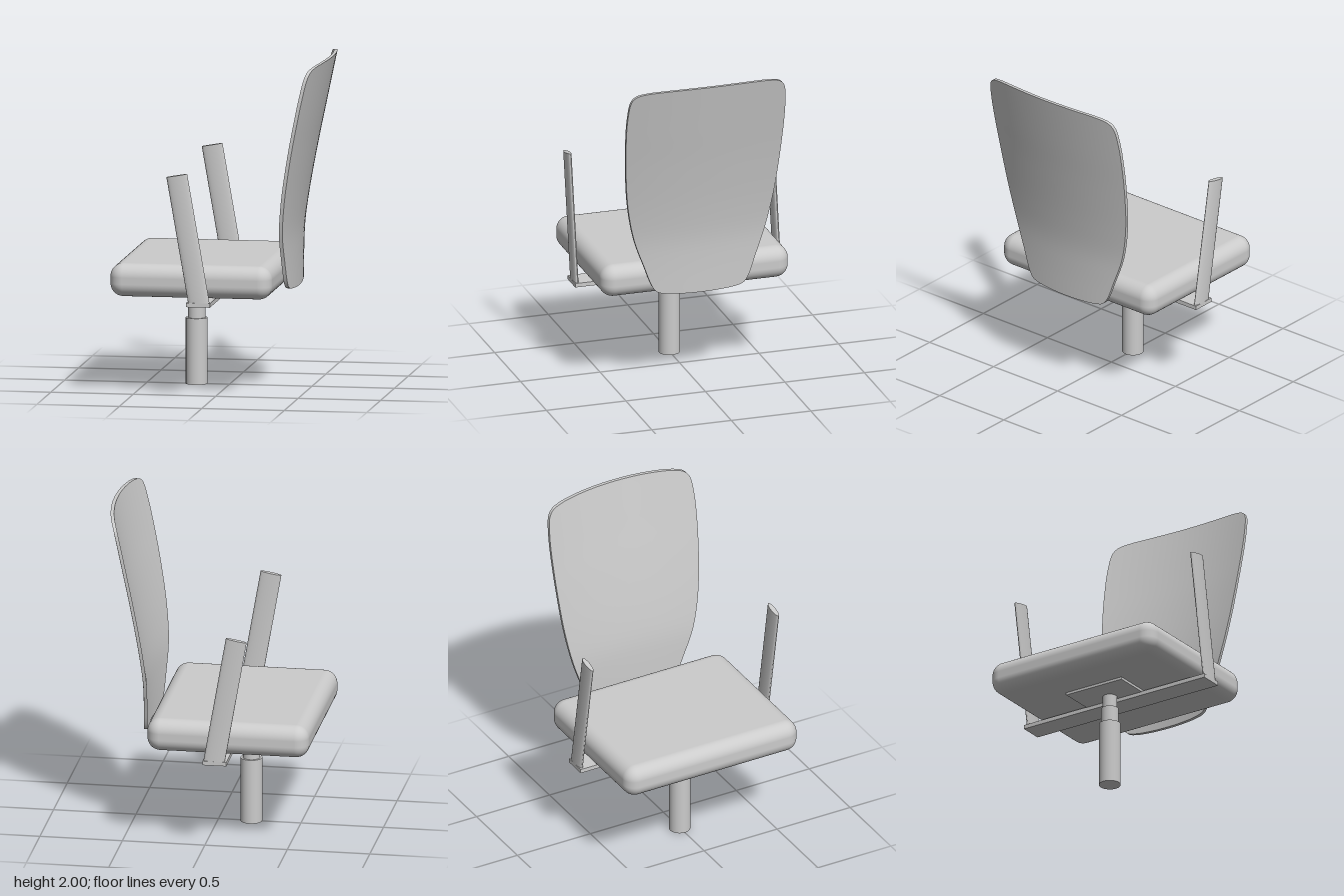
import * as THREE from 'three';
import { toCreasedNormals } from 'three/addons/utils/BufferGeometryUtils.js';
import { RoundedBoxGeometry } from 'three/addons/geometries/RoundedBoxGeometry.js';

const material = new THREE.MeshStandardMaterial({ color: 0xcccccc, side: THREE.DoubleSide });

function add(group, name, geometry, x = 0, y = 0, z = 0) {
  const mesh = new THREE.Mesh(geometry, material);
  mesh.name = name;
  mesh.position.set(x, y, z);
  group.add(mesh);
  return mesh;
}

// Half outline of the backrest, [z, y] from bottom centre to top centre
const HALF = [
  [0, 0.613], [0.12, 0.615], [0.22, 0.622], [0.27, 0.635], [0.3, 0.67], [0.35, 0.8], [0.41, 0.97],
  [0.455, 1.18], [0.48, 1.4], [0.495, 1.65], [0.495, 1.82], [0.48, 1.93], [0.45, 1.965],
  [0.39, 1.983], [0.25, 1.995], [0, 2.0],
];

// Side profile of the backrest's rear centre line
const spine = new THREE.CatmullRomCurve3([
  [0.425, 0.6], [0.427, 0.8], [0.434, 0.96], [0.46, 1.15], [0.515, 1.45], [0.567, 1.7], [0.632, 2.01],
].map(([x, y]) => new THREE.Vector3(x, y, 0))).getPoints(80);

function spineX(y) {
  let i = 1;
  while (i < spine.length - 1 && spine[i].y < y) i++;
  const a = spine[i - 1], b = spine[i];
  return a.x + (b.x - a.x) * (y - a.y) / (b.y - a.y);
}

// Thin shell: concentric rings of the outline, bent along the spine and across z
function backrestGeometry() {
  const loop = [...HALF, ...HALF.slice(1, -1).reverse().map(([z, y]) => [-z, y])];
  const outline = new THREE.CatmullRomCurve3(
    loop.map(([z, y]) => new THREE.Vector3(0, y, z)), true).getPoints(120).slice(0, -1);
  const n = outline.length, rings = 14, thickness = 0.021, midY = 1.3;
  const sequence = [];
  for (let r = 0; r <= rings; r++) sequence.push([r / rings, 0]);
  for (let r = rings; r >= 0; r--) sequence.push([r / rings, thickness]);
  const position = [], index = [];
  for (const [s, t] of sequence) {
    for (const p of outline) {
      const y = midY + (p.y - midY) * s, z = p.z * s;
      position.push(spineX(y) - 0.27 * z * z - t, y, z);
    }
  }
  for (let r = 0; r < sequence.length - 1; r++) {
    for (let i = 0; i < n; i++) {
      const j = (i + 1) % n, a = r * n + i, b = r * n + j, c = a + n, d = b + n;
      if (r > 0) index.push(a, b, c);
      if (r < sequence.length - 2) index.push(b, d, c);
      else continue;
      if (r === 0) continue;
    }
  }
  const geometry = new THREE.BufferGeometry();
  geometry.setAttribute('position', new THREE.Float32BufferAttribute(position, 3));
  geometry.setIndex(index);
  // Outward winding: the rear face must look towards +x
  const [a, b, c] = index.slice(0, 3).map(k => new THREE.Vector3().fromArray(position, k * 3));
  if (b.clone().sub(a).cross(c.clone().sub(a)).x < 0) geometry.setIndex(index.reverse());
  return toCreasedNormals(geometry, 0.6);
}

// Flat oval post leaning forward: level foot, tilted top
function armGeometry() {
  const geometry = new THREE.CylinderGeometry(1, 1, 1, 32, 1);
  const p = geometry.attributes.position;
  for (let i = 0; i < p.count; i++) {
    const u = p.getX(i), top = p.getY(i) > 0;
    p.setXYZ(i,
      top ? -0.213 + 0.063 * u : -0.079 + 0.065 * u,
      top ? 1.35 + 0.011 * u : 0.58,
      p.getZ(i) * 0.016);
  }
  geometry.computeVertexNormals();
  return toCreasedNormals(geometry, 0.8);
}

export function createModel() {
  const chair = new THREE.Group();
  chair.name = 'chair';

  // Cushion and shell
  add(chair, 'seat', new RoundedBoxGeometry(0.98, 0.2, 1.18, 8, 0.08), -0.145, 0.695, 0);
  add(chair, 'backrest', backrestGeometry());

  // Support under the seat
  add(chair, 'seatPlate', new THREE.BoxGeometry(0.39, 0.017, 0.4), -0.175, 0.588, 0);
  add(chair, 'armCrossbar', new THREE.BoxGeometry(0.145, 0.025, 1.305), -0.0825, 0.57, 0);

  // Arm posts
  for (const side of [1, -1]) {
    add(chair, side > 0 ? 'armPostFront' : 'armPostBack', armGeometry(), 0, 0, side * 0.636);
  }

  // Telescopic column, [radius, bottom, top]
  const column = new THREE.Group();
  column.name = 'column';
  [[0.065, 0, 0.4], [0.052, 0.4, 0.5], [0.043, 0.5, 0.585]].forEach(([r, y0, y1], i) => {
    add(column, `columnStage${i + 1}`, new THREE.CylinderGeometry(r, r, y1 - y0, 40), -0.2, (y0 + y1) / 2, 0);
  });
  chair.add(column);

  return chair;
}
